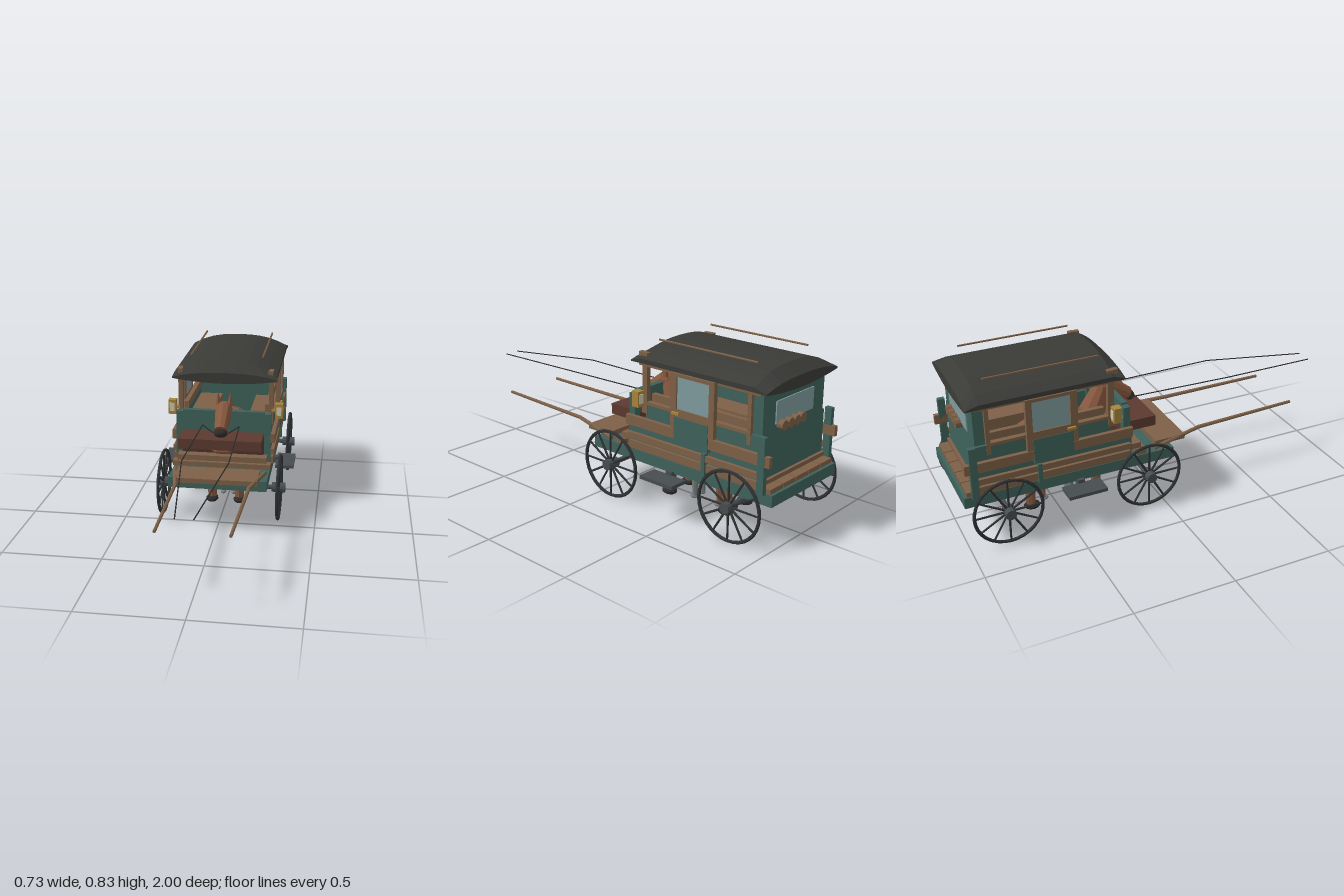
import * as THREE from 'three';

const mat = (color, extra = {}) => new THREE.MeshStandardMaterial({ color, flatShading: true, ...extra });
const M = {
  green: mat(0x3f625b), wood: mat(0x7d6047), maroon: mat(0x5c3a30), dark: mat(0x4a322a),
  roof: mat(0x3a3a37, { side: THREE.DoubleSide }), metal: mat(0x474d50), rim: mat(0x2f3234), glass: mat(0x7f9b9d),
  brass: mat(0xa8843c), lamp: mat(0xcfc8ae), horse: mat(0x87583f), hoof: mat(0x2e2c2a), fur: mat(0x747b7d),
};

export function createModel() {
  const root = new THREE.Group();
  const add = (name, geo, m, parent = root) => {
    const mesh = new THREE.Mesh(geo, m);
    mesh.name = name;
    parent.add(mesh);
    return mesh;
  };
  // Box given by its min and max on each axis
  const box = (name, m, x0, x1, y0, y1, z0, z1, parent) => {
    const b = add(name, new THREE.BoxGeometry(x1 - x0, y1 - y0, z1 - z0), m, parent);
    b.position.set((x0 + x1) / 2, (y0 + y1) / 2, (z0 + z1) / 2);
    return b;
  };
  // Same box on both sides of the model
  const pair = (name, m, x0, x1, ...r) => {
    box(name + 'Left', m, x0, x1, ...r);
    box(name + 'Right', m, -x1, -x0, ...r);
  };
  // Tapered rod between two points
  const rod = (name, m, a, b, r0, r1 = r0, n = 8, parent) => {
    const A = new THREE.Vector3(...a), B = new THREE.Vector3(...b), d = B.clone().sub(A);
    const c = add(name, new THREE.CylinderGeometry(r1, r0, d.length(), n), m, parent);
    c.position.copy(A).add(B).multiplyScalar(0.5);
    c.quaternion.setFromUnitVectors(new THREE.Vector3(0, 1, 0), d.normalize());
    return c;
  };
  const blob = (name, m, p, s, parent) => {
    const b = add(name, new THREE.SphereGeometry(1, 10, 7), m, parent);
    b.position.set(...p);
    b.scale.set(...s);
    return b;
  };

  // Chassis, floor and footboard
  box('chassis', M.green, -0.253, 0.253, 0.215, 0.27, -1, 0.07);
  box('footboard', M.wood, -0.212, 0.212, 0.277, 0.302, -0.01, 0.155);
  box('frontBeam', M.wood, -0.257, 0.257, 0.277, 0.303, -0.13, -0.08);
  box('frontStep', M.wood, -0.235, 0.235, 0.303, 0.332, -0.16, -0.1);
  for (let i = 0; i < 5; i++)
    box('rearPlank', M.wood, -0.245 + i * 0.099, -0.151 + i * 0.099, 0.27, 0.292, -0.985, -0.925);

  // Lower side walls, rails and rail posts
  pair('sideWall', M.green, 0.232, 0.25, 0.27, 0.52, -0.925, -0.27);
  pair('frontSideWall', M.green, 0.232, 0.25, 0.27, 0.42, -0.27, -0.16);
  pair('topRail', M.wood, 0.25, 0.271, 0.398, 0.447, -0.99, -0.16);
  pair('middleRail', M.wood, 0.25, 0.268, 0.33, 0.36, -0.93, -0.17);
  pair('bottomRail', M.wood, 0.25, 0.264, 0.28, 0.318, -0.93, -0.17);
  pair('rearRailPost', M.green, 0.25, 0.274, 0.265, 0.53, -0.965, -0.93);
  pair('middleRailPost', M.green, 0.25, 0.274, 0.265, 0.37, -0.645, -0.625);
  pair('seatPost', M.green, 0.215, 0.25, 0.32, 0.55, -0.2, -0.165);
  box('tailRail', M.wood, -0.25, 0.25, 0.292, 0.312, -0.94, -0.925);

  // Rear wall with window and rolled blankets
  box('rearWall', M.green, -0.236, 0.236, 0.27, 0.715, -0.925, -0.875);
  box('rearWindow', M.glass, -0.145, 0.145, 0.55, 0.655, -0.931, -0.87);
  for (let i = 0; i < 4; i++)
    rod('blanketRoll', M.wood, [-0.03 + i * 0.047, 0.543, -0.92], [-0.03 + i * 0.047, 0.543, -0.957], 0.024, 0.024, 10);

  // Cab pillars, top beams and window sills
  pair('frontPillar', M.wood, 0.229, 0.253, 0.47, 0.765, -0.28, -0.25);
  pair('frontPillarCap', M.wood, 0.225, 0.25, 0.7, 0.765, -0.25, -0.225);
  pair('rearPillar', M.wood, 0.229, 0.253, 0.47, 0.72, -0.875, -0.855);
  pair('topBeam', M.wood, 0.229, 0.253, 0.7, 0.722, -0.92, -0.25);
  pair('sill', M.wood, 0.229, 0.255, 0.515, 0.53, -0.875, -0.28);

  // Doors with glazing
  pair('doorPost', M.wood, 0.25, 0.273, 0.45, 0.71, -0.475, -0.44);
  pair('doorPostRear', M.wood, 0.25, 0.273, 0.45, 0.71, -0.69, -0.66);
  pair('doorHead', M.wood, 0.25, 0.273, 0.698, 0.714, -0.69, -0.44);
  pair('doorMiddle', M.wood, 0.25, 0.273, 0.505, 0.545, -0.66, -0.475);
  pair('doorPanel', M.green, 0.25, 0.276, 0.38, 0.508, -0.66, -0.465);
  pair('doorGlass', M.glass, 0.256, 0.266, 0.545, 0.698, -0.66, -0.475);
  pair('doorHandle', M.brass, 0.273, 0.284, 0.52, 0.532, -0.495, -0.455);

  // Arched roof lofted along z; ends slope down to a lens-shaped edge
  const rings = [[-0.965, 0.725, 0.755, 0.697], [-0.9, 0.74, 0.8, 0.715], [-0.26, 0.74, 0.8, 0.715], [-0.2, 0.725, 0.755, 0.697]];
  const N = 10, pos = [], idx = [];
  rings.forEach(([z, edge, top, low], k) => {
    const w = k % 3 ? 0.272 : 0.276;
    for (let i = 0; i <= N; i++) {
      const t = 1 - 2 * i / N;
      pos.push(w * t, edge + (top - edge) * (1 - Math.abs(t) ** 2.6), z);
    }
    for (let i = 0; i <= N; i++) {
      const t = -1 + 2 * i / N;
      pos.push(w * t, 0.718 + (low - 0.718) * (1 - t * t), z);
    }
  });
  const R = 2 * (N + 1);
  for (let k = 0; k < 3; k++) for (let i = 0; i < R; i++) {
    const a = k * R + i, b = k * R + (i + 1) % R;
    idx.push(a, b, a + R, b, b + R, a + R);
  }
  for (const [o, front] of [[0, false], [3 * R, true]]) for (let i = 1; i < R - 1; i++)
    idx.push(o, o + i + (front ? 0 : 1), o + i + (front ? 1 : 0));
  // Winding: make top faces point up
  for (let i = 0; i < 3 * R * 6; i += 3) [idx[i + 1], idx[i + 2]] = [idx[i + 2], idx[i + 1]];
  const roof = new THREE.BufferGeometry();
  roof.setAttribute('position', new THREE.Float32BufferAttribute(pos, 3));
  roof.setIndex(idx);
  roof.computeVertexNormals();
  add('roof', roof, M.roof);
  for (const s of [-1, 1]) rod('roofRail', M.wood, [0.19 * s, 0.822, -0.855], [0.19 * s, 0.822, -0.3], 0.005, 0.005, 6);

  // Driver seat
  box('seatBase', M.dark, -0.215, 0.215, 0.332, 0.4, -0.2, -0.15);
  box('seatCushion', M.maroon, -0.215, 0.215, 0.398, 0.451, -0.16, -0.012);
  box('seatBack', M.green, -0.215, 0.215, 0.445, 0.56, -0.195, -0.165);

  // Passenger benches
  for (const s of [-1, 1]) {
    const bench = new THREE.Group();
    bench.name = 'bench';
    root.add(bench);
    const b = (n, x0, x1, ...r) => box(n, M.wood, Math.min(x0 * s, x1 * s), Math.max(x0 * s, x1 * s), ...r, bench);
    b('benchSeat', 0.1, 0.23, 0.42, 0.445, -0.86, -0.3);
    b('benchBack', 0.205, 0.228, 0.525, 0.567, -0.86, -0.29);
    b('benchFront', 0.11, 0.125, 0.27, 0.42, -0.86, -0.3);
  }

  // Lanterns and side steps
  pair('lantern', M.brass, 0.264, 0.305, 0.51, 0.587, -0.272, -0.232);
  pair('lanternGlass', M.lamp, 0.272, 0.297, 0.527, 0.572, -0.276, -0.228);
  pair('lanternBracket', M.brass, 0.245, 0.266, 0.54, 0.555, -0.26, -0.245);
  pair('sideStep', M.metal, 0.263, 0.363, 0.191, 0.208, -0.53, -0.335);
  pair('stepBracket', M.metal, 0.235, 0.27, 0.191, 0.225, -0.45, -0.415);

  // Axles and spoked wheels
  for (const z of [-0.09, -0.81]) {
    rod('axle', M.metal, [-0.3, 0.18, z], [0.3, 0.18, z], 0.013);
    box('axleBlock', M.metal, -0.05, 0.05, 0.18, 0.22, z - 0.03, z + 0.03);
    for (const s of [-1, 1]) {
      const wheel = new THREE.Group();
      wheel.name = 'wheel';
      wheel.position.set(0.306 * s, 0.18, z);
      root.add(wheel);
      add('rim', new THREE.TorusGeometry(0.166, 0.0085, 6, 32), M.rim, wheel).rotation.y = Math.PI / 2;
      rod('hub', M.metal, [-0.038, 0, 0], [0.032, 0, 0], 0.026, 0.026, 12, wheel);
      for (let i = 0; i < 12; i++) {
        const a = i * Math.PI / 6, c = Math.cos(a), d = Math.sin(a);
        rod('spoke', M.rim, [0, 0.02 * c, 0.02 * d], [0, 0.164 * c, 0.164 * d], 0.006, 0.005, 6, wheel);
      }
    }
  }

  // Shafts and reins
  for (const s of [-1, 1]) {
    rod('shaftRear', M.wood, [0.235 * s, 0.28, -0.03], [0.182 * s, 0.305, 0.25], 0.011, 0.01);
    rod('shaftFront', M.wood, [0.182 * s, 0.305, 0.25], [0.168 * s, 0.315, 0.81], 0.01, 0.008);
    const rein = [[0.04, 0.475, -0.06], [0.095, 0.512, -0.07], [0.11, 0.51, 0.45], [0.04, 0.47, 1]];
    for (let i = 0; i < 3; i++)
      rod('rein', M.hoof, [rein[i][0] * s, rein[i][1], rein[i][2]], [rein[i + 1][0] * s, rein[i + 1][1], rein[i + 1][2]], 0.003, 0.003, 5);
  }

  // Horse
  const horse = new THREE.Group();
  horse.name = 'horse';
  root.add(horse);
  blob('horseBody', M.horse, [0, 0.37, -0.45], [0.11, 0.105, 0.25], horse);
  blob('horseChest', M.horse, [0, 0.36, -0.24], [0.108, 0.075, 0.12], horse);
  rod('horseNeck', M.horse, [0, 0.38, -0.28], [0, 0.56, -0.2], 0.075, 0.042, 10, horse);
  rod('horseHead', M.horse, [0, 0.565, -0.19], [0, 0.485, -0.065], 0.046, 0.034, 10, horse);
  blob('horseForehead', M.horse, [0, 0.56, -0.19], [0.046, 0.045, 0.045], horse);
  blob('horseMuzzle', M.hoof, [0, 0.476, -0.06], [0.038, 0.024, 0.03], horse);
  for (const s of [-1, 1]) {
    rod('horseEar', M.horse, [0.03 * s, 0.585, -0.2], [0.034 * s, 0.656, -0.2], 0.017, 0.001, 5, horse);
    for (const z of [-0.28, -0.63]) {
      rod('horseLeg', M.horse, [0.075 * s, 0.02, z], [0.075 * s, 0.34, z], 0.024, 0.032, 8, horse);
      blob('horseHoof', M.hoof, [0.076 * s, 0.02, z + 0.005], [0.034, 0.019, 0.042], horse);
    }
  }

  // Dog trotting underneath
  const dog = new THREE.Group();
  dog.name = 'dog';
  root.add(dog);
  blob('dogBody', M.horse, [0, 0.135, -0.47], [0.046, 0.05, 0.115], dog);
  blob('dogBack', M.fur, [0, 0.165, -0.48], [0.04, 0.032, 0.11], dog);
  blob('dogChest', M.horse, [0, 0.12, -0.39], [0.042, 0.055, 0.04], dog);
  blob('dogHead', M.fur, [0, 0.182, -0.36], [0.034, 0.03, 0.036], dog);
  blob('dogMuzzle', M.fur, [0, 0.172, -0.328], [0.017, 0.014, 0.022], dog);
  rod('dogTail', M.fur, [0, 0.16, -0.57], [0, 0.2, -0.61], 0.012, 0.005, 6, dog);
  for (const s of [-1, 1]) {
    rod('dogEar', M.fur, [0.022 * s, 0.195, -0.37], [0.026 * s, 0.215, -0.37], 0.01, 0.002, 5, dog);
    for (const z of [-0.4, -0.55]) {
      rod('dogLeg', z > -0.5 ? M.fur : M.horse, [0.03 * s, 0.005, z], [0.03 * s, 0.13, z], 0.012, 0.019, 7, dog);
      blob('dogPaw', M.fur, [0.03 * s, 0.011, z + 0.006], [0.016, 0.011, 0.022], dog);
    }
  }
  return root;
}
